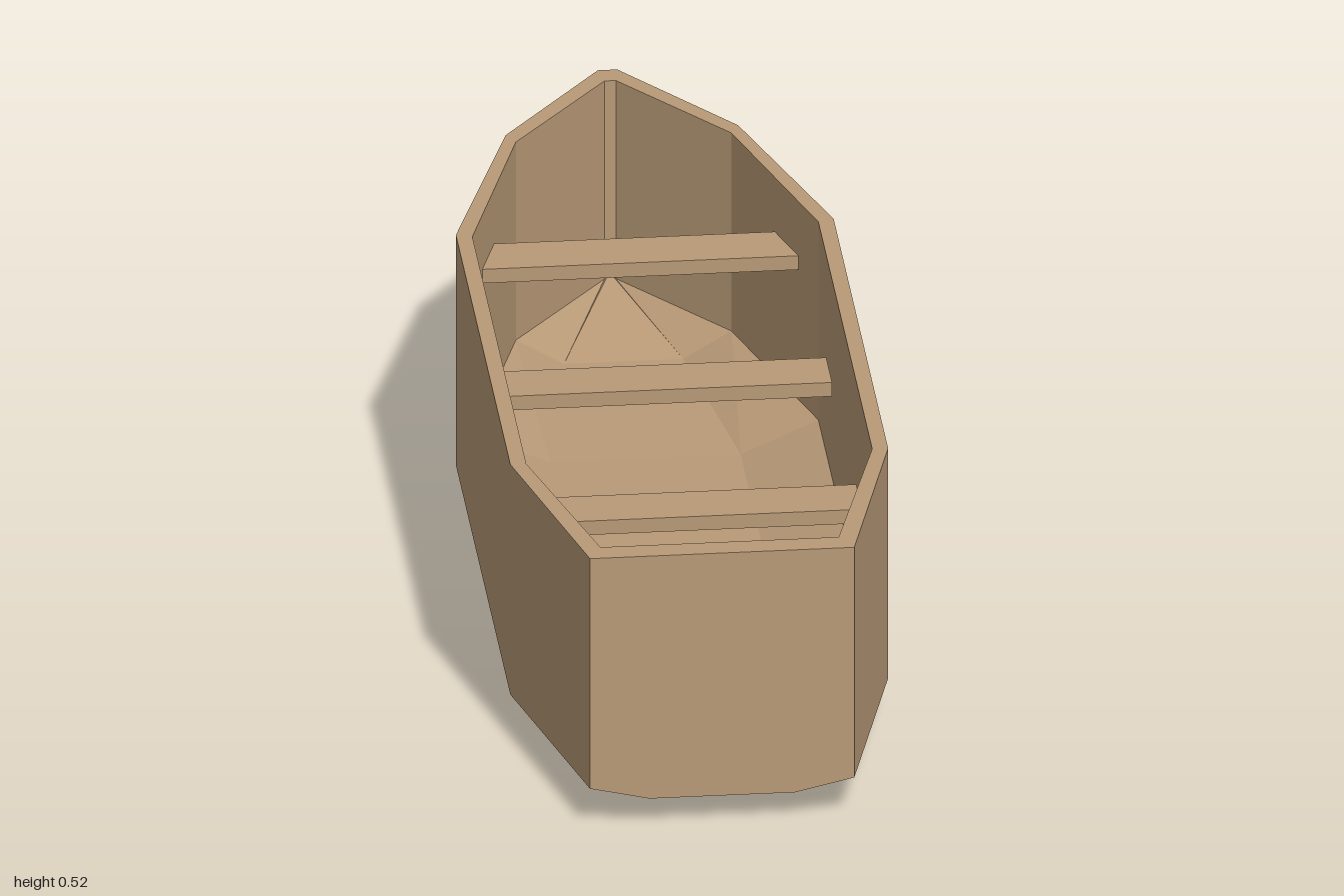
import * as THREE from 'three';

const RIM = 0.524;

// One hull section: rim, chine and bottom corner on the left, then mirrored to the right
function section([z, half, chineY, bottomHalf, bottomY]) {
  const left = [[half, RIM, z], [half, chineY, z], [bottomHalf, bottomY, z]];
  return [...left, ...left.map(([x, y, w]) => [-x, y, w]).reverse()];
}

function hullGeometry(outer, inner) {
  const pos = [];
  const fan = (pts, flip) => {
    const p = flip ? [...pts].reverse() : pts;
    for (let i = 1; i < p.length - 1; i++) pos.push(...p[0], ...p[i], ...p[i + 1]);
  };
  const skin = (rings, flip) => {
    for (let s = 0; s < rings.length - 1; s++)
      for (let i = 0; i < 5; i++) {
        const [a, b, c, d] = [rings[s][i], rings[s][i + 1], rings[s + 1][i + 1], rings[s + 1][i]];
        // mirrored creases: they run out to the chine towards both ends
        const turned = (s === 0) === (i === 3);
        if (turned !== flip) fan([b, c, d, a], flip);
        else fan([a, b, c, d], flip);
      }
    // stern and bow ends
    fan(rings[0], !flip);
    fan(rings[rings.length - 1], flip);
  };
  skin(outer, false);
  skin(inner, true);

  // flat rim joining the two skins
  const n = outer.length - 1;
  for (let s = 0; s < n; s++)
    for (const i of [0, 5])
      fan([outer[s][i], outer[s + 1][i], inner[s + 1][i], inner[s][i]], i === 5);
  fan([outer[0][0], inner[0][0], inner[0][5], outer[0][5]], false);
  fan([outer[n][0], outer[n][5], inner[n][5], inner[n][0]], false);

  const geometry = new THREE.BufferGeometry();
  geometry.setAttribute('position', new THREE.Float32BufferAttribute(pos, 3));
  geometry.computeVertexNormals();
  return geometry;
}

export function createModel() {
  const boat = new THREE.Group();
  boat.name = 'rowingBoat';
  const wood = new THREE.MeshStandardMaterial({ color: 0xb99a77, flatShading: true });

  // Sections: z, half width, chine height, bottom half width, bottom height
  const outer = [
    [1, 0.233, 0.078, 0.128, 0.054],
    [0.6, 0.333, 0.078, 0.183, 0],
    [-0.35, 0.333, 0.078, 0.183, 0],
    [-0.75, 0.205, 0.078, 0.113, 0.02],
    [-1, 0.017, 0.078, 0.01, 0.085],
  ].map(section);
  const inner = [
    [0.955, 0.21, 0.14, 0.118, 0.115],
    [0.6, 0.305, 0.14, 0.168, 0.08],
    [-0.34, 0.305, 0.14, 0.168, 0.08],
    [-0.72, 0.19, 0.14, 0.105, 0.09],
    [-0.955, 0.01, 0.14, 0.005, 0.145],
  ].map(section);
  const hull = new THREE.Mesh(hullGeometry(outer, inner), wood);
  hull.name = 'hull';
  boat.add(hull);

  // Three plank seats
  const seatGeometry = new THREE.BoxGeometry(0.57, 0.027, 0.103);
  [['sternSeat', 0.571], ['middleSeat', 0.046], ['bowSeat', -0.479]].forEach(([name, z]) => {
    const seat = new THREE.Mesh(seatGeometry, wood);
    seat.name = name;
    seat.position.set(0, 0.405, z);
    boat.add(seat);
  });

  return boat;
}
